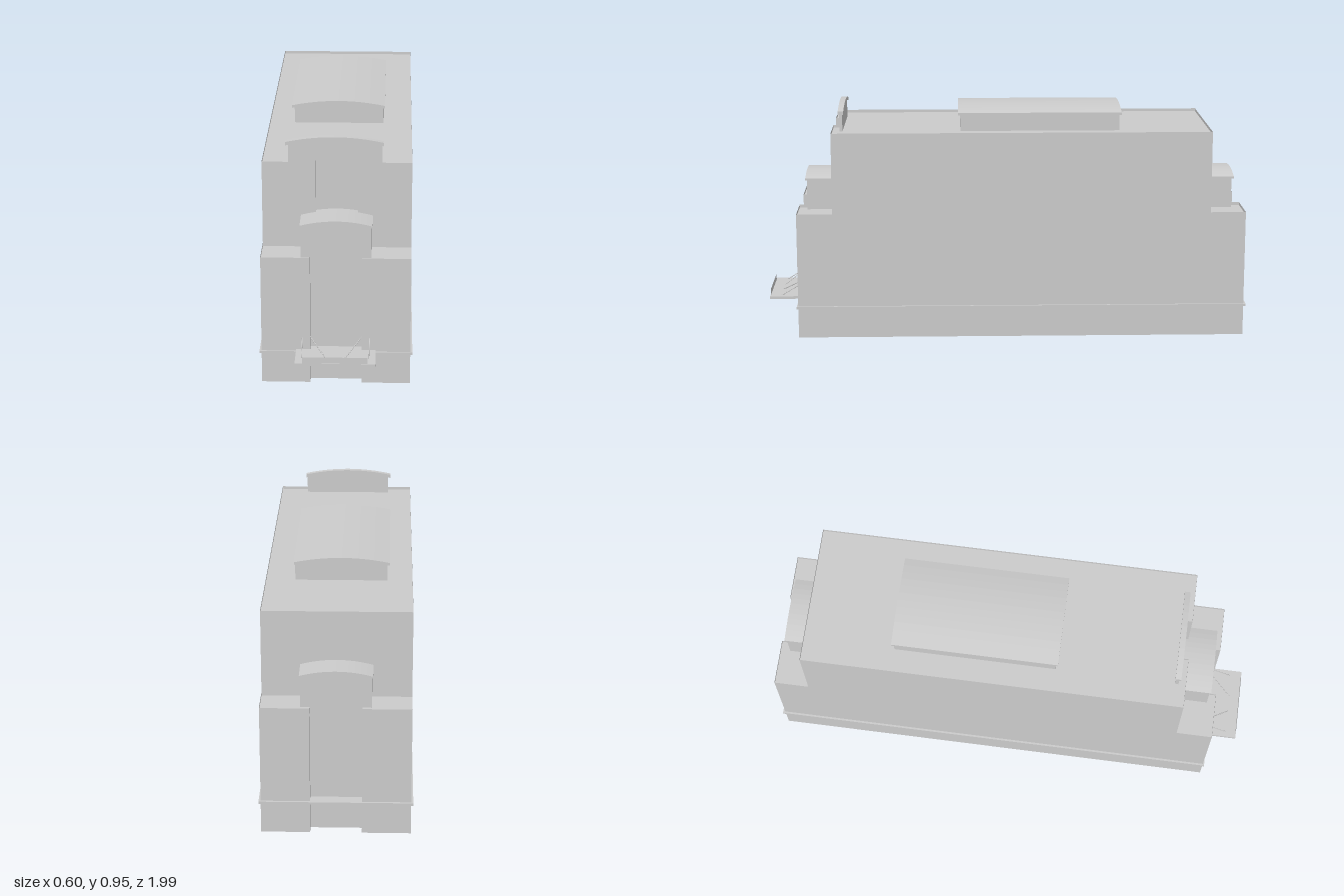
import * as THREE from 'three';

const grey = new THREE.MeshStandardMaterial({ color: 0xcccccc, side: THREE.DoubleSide });

function add(parent, name, geometry) {
  const mesh = new THREE.Mesh(geometry, grey);
  mesh.name = name;
  parent.add(mesh);
  return mesh;
}

function box(parent, name, x0, x1, y0, y1, z0, z1) {
  const mesh = add(parent, name, new THREE.BoxGeometry(x1 - x0, y1 - y0, z1 - z0));
  mesh.position.set((x0 + x1) / 2, (y0 + y1) / 2, (z0 + z1) / 2);
  return mesh;
}

// Upright sheet walls following a closed [x, z] plan
function wallGeometry(plan, y0, y1) {
  const pos = [];
  plan.forEach(([ax, az], i) => {
    const [bx, bz] = plan[(i + 1) % plan.length];
    pos.push(ax, y0, az, bx, y0, bz, bx, y1, bz, ax, y0, az, bx, y1, bz, ax, y1, az);
  });
  const g = new THREE.BufferGeometry();
  g.setAttribute('position', new THREE.Float32BufferAttribute(pos, 3));
  g.computeVertexNormals();
  return g;
}

// Flat sheet filling a plan at height y
function deckGeometry(plan, y) {
  const shape = new THREE.Shape(plan.map(([x, z]) => new THREE.Vector2(x, -z)));
  return new THREE.ShapeGeometry(shape).rotateX(-Math.PI / 2).translate(0, y, 0);
}

// Block with an arched top and flat base, running from z0 to z1
function archBlock(parent, name, x0, x1, base, edge, crown, z0, z1) {
  const s = new THREE.Shape();
  s.moveTo(x0, base);
  s.lineTo(x1, base);
  s.lineTo(x1, edge);
  s.quadraticCurveTo((x0 + x1) / 2, 2 * crown - edge, x0, edge);
  const g = new THREE.ExtrudeGeometry(s, { depth: z1 - z0, bevelEnabled: false, curveSegments: 12 });
  return add(parent, name, g.translate(0, 0, z0));
}

// Thin curved roof sheet
function archRoof(parent, name, x0, x1, edge, crown, thick, z0, z1) {
  const mid = (x0 + x1) / 2, rise = 2 * crown - edge;
  const s = new THREE.Shape();
  s.moveTo(x0, edge - thick);
  s.quadraticCurveTo(mid, rise - thick, x1, edge - thick);
  s.lineTo(x1, edge);
  s.quadraticCurveTo(mid, rise, x0, edge);
  const g = new THREE.ExtrudeGeometry(s, { depth: z1 - z0, bevelEnabled: false, curveSegments: 12 });
  return add(parent, name, g.translate(0, 0, z0));
}

function rod(parent, name, from, to, radius) {
  const path = new THREE.LineCurve3(new THREE.Vector3(...from), new THREE.Vector3(...to));
  return add(parent, name, new THREE.TubeGeometry(path, 1, radius, 6));
}

export function createModel() {
  const model = new THREE.Group();
  model.name = 'steppedHall';
  const W = 0.29;

  // Lower body, with a shallow bay in both end walls and an open underside
  const lower = [
    [-W, 0.87], [-0.1, 0.87], [-0.1, 0.835], [0.1, 0.835], [0.1, 0.87], [W, 0.87],
    [W, -0.985], [0.1, -0.985], [0.1, -0.945], [-0.1, -0.945], [-0.1, -0.985], [-W, -0.985],
  ];
  add(model, 'lowerWalls', wallGeometry(lower, 0, 0.525));
  add(model, 'lowerRoof', deckGeometry(lower, 0.513));

  // Upper body, with a bay at the front only
  const upper = [
    [-W, 0.722], [-0.082, 0.722], [-0.082, 0.692], [0.082, 0.692], [0.082, 0.722], [W, 0.722],
    [W, -0.84], [-W, -0.84],
  ];
  add(model, 'upperWalls', wallGeometry(upper, 0.513, 0.862));
  add(model, 'upperRoof', deckGeometry(upper, 0.85));

  // Floor slab whose edge shows as a ledge round the walls
  box(model, 'floorLedge', -0.298, 0.298, 0.124, 0.134, -0.994, 0.876);

  // Arched hoods on the end steps
  for (const [name, z0, z1, r0, r1] of [
    ['front', 0.7, 0.835, 0.7, 0.841],
    ['back', -0.945, -0.83, -0.954, -0.83],
  ]) {
    archBlock(model, name + 'Hood', -0.136, 0.136, 0.513, 0.638, 0.656, z0, z1);
    archRoof(model, name + 'HoodRoof', -0.14, 0.14, 0.645, 0.664, 0.009, r0, r1);
  }

  // Long raised roof light
  archBlock(model, 'roofLight', -0.19, 0.175, 0.85, 0.918, 0.937, -0.467, 0.193);
  archRoof(model, 'roofLightCover', -0.2, 0.18, 0.926, 0.946, 0.011, -0.475, 0.202);

  // Arched parapet above the front bay
  archBlock(model, 'frontParapet', -0.19, 0.175, 0.85, 0.922, 0.946, 0.68, 0.692);
  archRoof(model, 'frontParapetCap', -0.2, 0.18, 0.934, 0.955, 0.014, 0.675, 0.698);

  // Front platform with upright edge plate and stays
  box(model, 'platform', -0.155, 0.155, 0.13, 0.141, 0.84, 1);
  const plate = add(model, 'platformEdgePlate', new THREE.PlaneGeometry(0.25, 0.027));
  plate.position.set(0, 0.153, 0.998);
  for (const s of [-1, 1]) {
    rod(model, 'outerStay', [s * 0.131, 0.19, 0.868], [s * 0.131, 0.138, 0.955], 0.002);
    rod(model, 'innerStay', [s * 0.1, 0.195, 0.868], [s * 0.035, 0.14, 0.955], 0.002);
  }
  return model;
}
